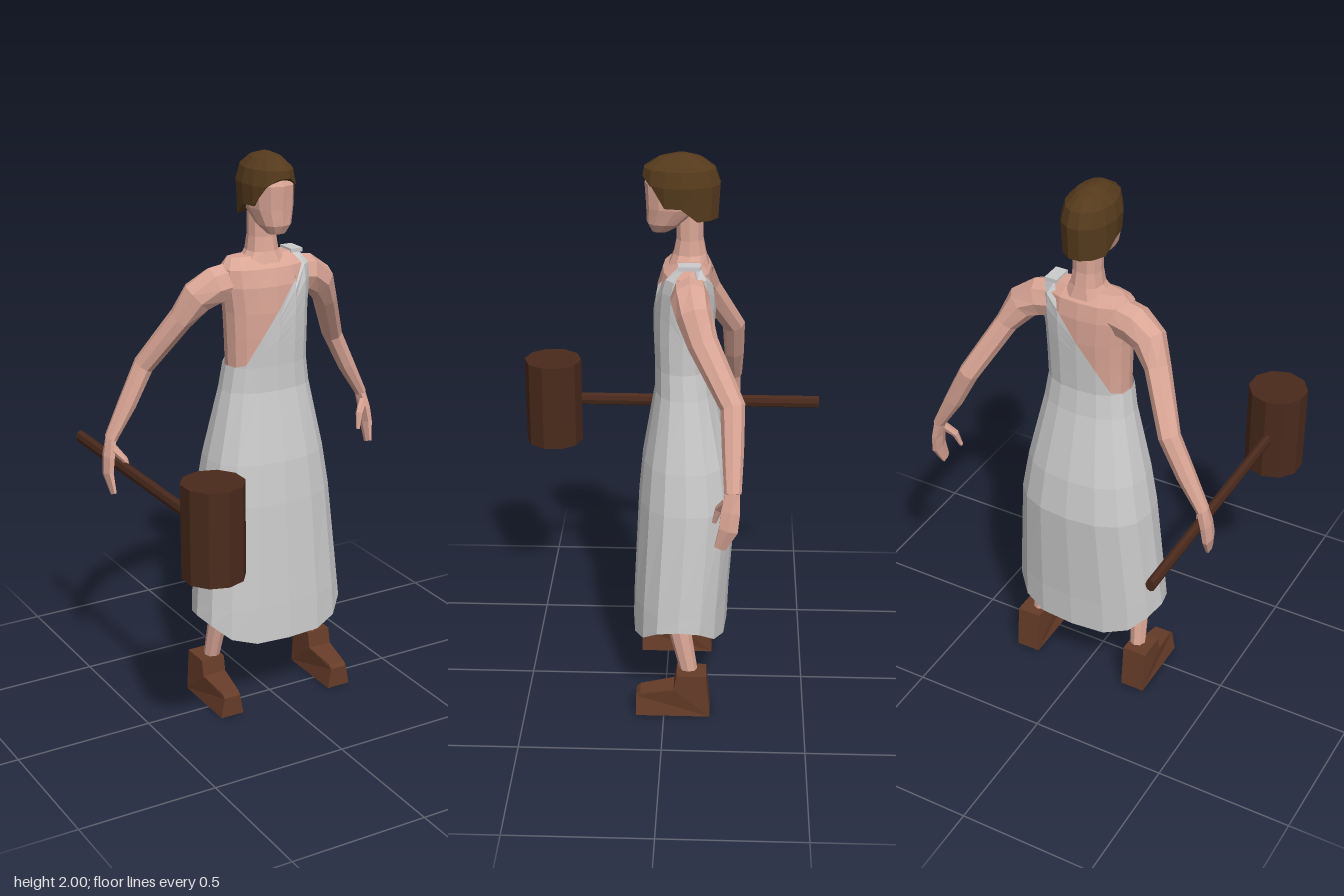
import * as THREE from 'three';

const mat = (color, side = THREE.FrontSide) =>
  new THREE.MeshStandardMaterial({ color, flatShading: true, side });

const V = (x, y, z) => new THREE.Vector3(x, y, z);
const power = (t, e) => Math.sign(t) * Math.pow(Math.abs(t), e);

// Skin a stack of equal-length closed rings; optional end caps
function loft(rings, caps = true) {
  const n = rings[0].length;
  const pos = rings.flat().flatMap((p) => [p.x, p.y, p.z]);
  const idx = [];
  for (let i = 0; i < rings.length - 1; i++) {
    for (let j = 0; j < n; j++) {
      const k = (j + 1) % n;
      const a = i * n + j, b = i * n + k, c = a + n, d = b + n;
      idx.push(a, c, b, b, c, d);
    }
  }
  if (caps) {
    const last = (rings.length - 1) * n;
    for (let j = 1; j < n - 1; j++) {
      idx.push(0, j, j + 1, last, last + j + 1, last + j);
    }
  }
  const g = new THREE.BufferGeometry();
  g.setAttribute('position', new THREE.Float32BufferAttribute(pos, 3));
  g.setIndex(idx);
  g.computeVertexNormals();
  return g;
}

// Horizontal ring from [y, halfWidth, zFront, zBack]
function ringPoint([y, w, zf, zb], a, off = 0) {
  const c = power(Math.cos(a), 0.85), s = power(Math.sin(a), 0.85);
  return V((w + off) * c, y, (zf + zb) / 2 + ((zf - zb) / 2 + off) * s);
}
const angles = (n) => Array.from({ length: n }, (_, j) => (j / n) * Math.PI * 2);
const stack = (rows, n) => loft(rows.map((r) => angles(n).map((a) => ringPoint(r, a))));

// Tapered limb through [x, y, z, radiusAcross, radiusDeep], mirrored by s
function limb(path, s, n = 8) {
  const pts = path.map(([x, y, z]) => V(x * s, y, z));
  return loft(pts.map((p, i) => {
    const d = pts[Math.min(i + 1, pts.length - 1)].clone().sub(pts[Math.max(i - 1, 0)]).normalize();
    const u = d.clone().cross(V(0, 0, 1)).normalize();
    const v = u.clone().cross(d);
    return angles(n).map((a) => p.clone()
      .addScaledVector(u, Math.cos(a) * path[i][3])
      .addScaledVector(v, Math.sin(a) * path[i][4]));
  }));
}

const TORSO = [
  [1.2, 0.15, 0.03, -0.15], [1.27, 0.145, 0.032, -0.15], [1.37, 0.147, 0.036, -0.155],
  [1.46, 0.15, 0.036, -0.16], [1.55, 0.16, 0.03, -0.16], [1.61, 0.16, 0.012, -0.15],
  [1.645, 0.135, -0.045, -0.115],
];
function torsoRow(y) {
  let i = 0;
  while (i < TORSO.length - 2 && TORSO[i + 1][0] < y) i++;
  const t = Math.min(1, (y - TORSO[i][0]) / (TORSO[i + 1][0] - TORSO[i][0]));
  return TORSO[i].map((v, k) => v + (TORSO[i + 1][k] - v) * t);
}

export function createModel() {
  const model = new THREE.Group();
  const figure = new THREE.Group();
  figure.name = 'figure';
  figure.position.x = 0.013;
  model.add(figure);

  const skin = mat(0xd9a595);
  const cloth = mat(0xcccccc, THREE.DoubleSide);
  const hairMat = mat(0x553a1c, THREE.DoubleSide);
  const shoeMat = mat(0x663c28);
  const wood = mat(0x4a2a1c);
  const add = (name, geo, material, parent = figure) => {
    const m = new THREE.Mesh(geo, material);
    m.name = name;
    parent.add(m);
    return m;
  };

  // Torso, neck and head
  add('torso', stack(TORSO, 16), skin);
  add('neck', stack([
    [1.62, 0.085, -0.005, -0.145], [1.66, 0.056, -0.022, -0.135],
    [1.71, 0.05, -0.032, -0.125], [1.82, 0.05, -0.03, -0.125]], 10), skin);
  add('head', stack([
    [1.735, 0.032, 0.05, -0.01], [1.765, 0.056, 0.066, -0.06], [1.82, 0.074, 0.068, -0.13],
    [1.9, 0.078, 0.073, -0.155], [1.955, 0.055, 0.045, -0.13]], 12), skin);

  // Hair cap: the hem is high over the face, low at the nape
  const hem = (a) => {
    const s = Math.sin(a);
    return s > 0.6 ? 1.87 + 0.06 * (s - 0.6) / 0.4 : s > -0.4 ? 1.83 : 1.785;
  };
  const hairRows = [[0, 0.95], [1.9, 1], [1.952, 0.86], [1.985, 0.52], [2.0, 0.12]];
  add('hair', loft(hairRows.map(([y, r]) => angles(14).map((a) => {
    const yy = Math.max(y, hem(a));
    const front = Math.sin(a) > 0.5 && y > 1.94 && y < 1.99 ? 1.12 : 1;
    return V(0.092 * r * Math.cos(a), yy, -0.05 + 0.132 * r * front * Math.sin(a));
  }))), hairMat);

  // Skirt with a hem that lifts at the sides
  const skirtRows = [
    [0.265, 0.285, 0.12, -0.22], [0.4, 0.28, 0.116, -0.225], [0.78, 0.247, 0.097, -0.25],
    [0.93, 0.222, 0.083, -0.23], [1.18, 0.167, 0.04, -0.17], [1.27, 0.153, 0.04, -0.158]];
  add('skirt', loft(skirtRows.map((r, i) => angles(16).map((a) => {
    const p = ringPoint(r, a);
    if (i === 0) p.y += 0.085 * Math.max(0, Math.abs(Math.cos(a)) - 0.6) / 0.4;
    return p;
  })), false), cloth);

  // Bodice: cut on the diagonal up to one shoulder, with an armhole at the side
  const topOf = (a) => {
    const c = Math.cos(a);
    if (c > 0.95) return 1.47;
    if (c > 0.7) return 1.65;
    return 1.27 + Math.max(0, (c + 0.75) / 1.45) * 0.38;
  };
  const steps = 8;
  add('bodice', loft(Array.from({ length: steps + 1 }, (_, i) => angles(16).map((a) => {
    const y = 1.27 + (topOf(a) - 1.27) * (i / steps);
    return ringPoint(torsoRow(y), a, 0.008);
  })), false), cloth);
  add('shoulderStrap', new THREE.BoxGeometry(0.045, 0.014, 0.075), cloth)
    .position.set(0.12, 1.645, -0.08);

  for (const s of [1, -1]) {
    const side = s > 0 ? 'left' : 'right';

    // Arm, palm with curled fingers, and thumb
    add(side + 'Arm', limb([
      [0.08, 1.565, -0.075, 0.07, 0.062], [0.18, 1.55, -0.085, 0.068, 0.065],
      [0.24, 1.515, -0.1, 0.06, 0.06], [0.287, 1.44, -0.13, 0.04, 0.052],
      [0.385, 1.26, -0.23, 0.036, 0.042], [0.45, 1.13, -0.233, 0.033, 0.036],
      [0.517, 1.01, -0.235, 0.021, 0.028]], s), skin);
    add(side + 'Hand', limb([
      [0.515, 1.015, -0.235, 0.02, 0.027], [0.53, 0.95, -0.228, 0.018, 0.036],
      [0.537, 0.89, -0.222, 0.016, 0.036], [0.53, 0.82, -0.195, 0.008, 0.022]], s, 6), skin);
    add(side + 'Thumb', limb([
      [0.517, 0.98, -0.215, 0.016, 0.016], [0.485, 0.94, -0.19, 0.012, 0.014],
      [0.472, 0.885, -0.175, 0.006, 0.008]], s, 6), skin);

    // Leg
    add(side + 'Leg', limb([
      [0.1, 0.95, -0.07, 0.085, 0.09], [0.17, 0.58, -0.01, 0.05, 0.055],
      [0.195, 0.36, -0.045, 0.035, 0.042], [0.212, 0.1, -0.1, 0.026, 0.028]], s), skin);

    // Ankle boot: side profile extruded across the foot, toe top narrowed
    const profile = new THREE.Shape([
      [-0.165, 0], [0.1, 0], [0.1, 0.075], [0.085, 0.088], [-0.035, 0.108],
      [-0.045, 0.165], [-0.15, 0.165]].map(([x, y]) => new THREE.Vector2(x, y)));
    const boot = new THREE.ExtrudeGeometry(profile, { depth: 0.09, bevelEnabled: false });
    boot.translate(0, 0, -0.045).rotateY(-Math.PI / 2);
    const p = boot.attributes.position;
    for (let i = 0; i < p.count; i++) {
      if (p.getZ(i) > 0.05 && p.getY(i) > 0.05) p.setX(i, p.getX(i) * 0.7);
    }
    boot.computeVertexNormals();
    add(side + 'Boot', boot, shoeMat).position.x = s * 0.225;
  }

  // Long-handled mallet held level in the right hand
  const mallet = new THREE.Group();
  mallet.name = 'mallet';
  mallet.position.set(-0.467, 0.912, 0.445);
  model.add(mallet);
  add('malletHead', new THREE.CylinderGeometry(0.106, 0.106, 0.326, 10), wood, mallet);
  const handle = new THREE.CylinderGeometry(0.024, 0.024, 1.0, 8);
  handle.rotateX(Math.PI / 2).scale(0.72, 1, 1);
  add('malletHandle', handle, wood, mallet).position.set(-0.01, 0, -0.5);

  return model;
}
